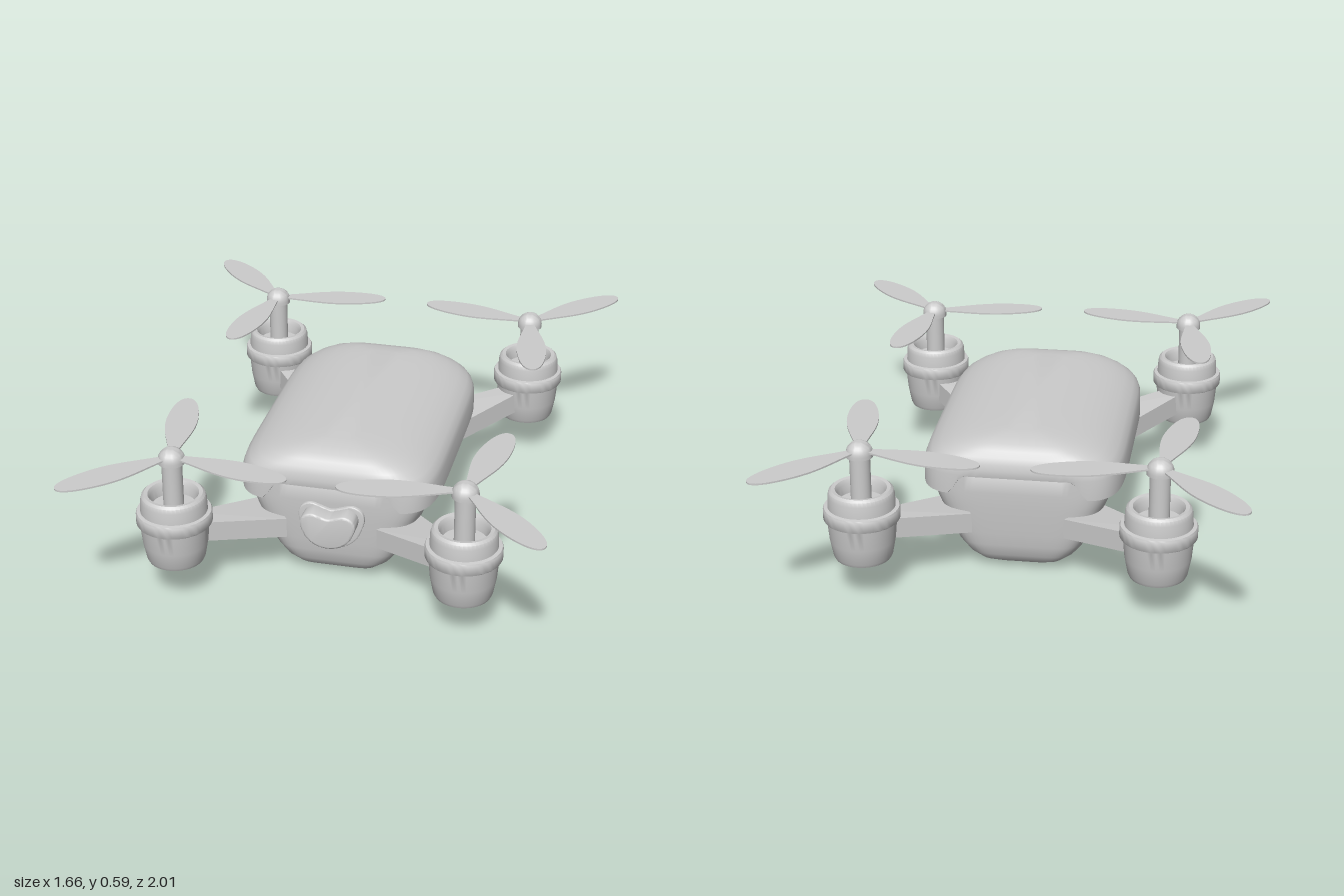
import * as THREE from 'three';
import { toCreasedNormals } from 'three/addons/utils/BufferGeometryUtils.js';
import { ConvexGeometry } from 'three/addons/geometries/ConvexGeometry.js';

const material = new THREE.MeshStandardMaterial({ color: 0xcccccc });

function mesh(name, geometry) {
  const m = new THREE.Mesh(geometry, material);
  m.name = name;
  return m;
}

// Skin over rounded-rectangle rings; levels are [halfWidth, halfDepth, y]
function loft(levels, power, lift = () => 0) {
  const n = 144, pos = [], index = [];
  levels.forEach(([hx, hz, y], i) => {
    for (let j = 0; j < n; j++) {
      const t = (j / n) * Math.PI * 2, c = Math.cos(t), s = Math.sin(t);
      const r = (Math.abs(c) ** power + Math.abs(s) ** power) ** (-1 / power);
      const x = hx * r * c, z = hz * r * s;
      pos.push(x, y + lift(x, y, z), z);
      if (i === 0) continue;
      const k = (j + 1) % n, a = (i - 1) * n, b = i * n;
      index.push(a + j, b + j, a + k, a + k, b + j, b + k);
    }
  });
  const g = new THREE.BufferGeometry();
  g.setAttribute('position', new THREE.Float32BufferAttribute(pos, 3));
  g.setIndex(index);
  return toCreasedNormals(g, 0.6);
}

function lathe(points, segments = 48) {
  const g = new THREE.LatheGeometry(points.map(([r, y]) => new THREE.Vector2(r, y)), segments);
  return toCreasedNormals(g, 0.6);
}

// Bean outline of the camera, sized about its centre
function beanShape(w, h) {
  const half = [[0, 0.74], [0.3, 0.86], [0.66, 1], [0.93, 0.8], [1, 0.42], [0.9, -0.1], [0.72, -0.55], [0.38, -0.9]];
  const left = half.slice(1).reverse().map(([x, y]) => [-x, y]);
  const pts = [...half, [0, -1], ...left].map(([x, y]) => new THREE.Vector3(x * w, y * h, 0));
  const curve = new THREE.CatmullRomCurve3(pts, true);
  return new THREE.Shape(curve.getPoints(64).slice(0, -1).map(p => new THREE.Vector2(p.x, p.y)));
}

function bean(name, w, h, y, z0, z1, bevel) {
  const g = new THREE.ExtrudeGeometry(beanShape(w - bevel, h - bevel), {
    depth: z1 - z0 - bevel, bevelEnabled: true, bevelThickness: bevel, bevelSize: bevel, bevelSegments: 3,
  });
  g.translate(0, y, z0);
  return mesh(name, toCreasedNormals(g, 0.6));
}

function bladeGeometry() {
  const s = new THREE.Shape();
  s.moveTo(0.02, 0.013);
  s.bezierCurveTo(0.12, 0.03, 0.18, 0.06, 0.28, 0.056);
  s.bezierCurveTo(0.36, 0.052, 0.435, 0.035, 0.435, 0);
  s.bezierCurveTo(0.435, -0.035, 0.36, -0.052, 0.28, -0.056);
  s.bezierCurveTo(0.18, -0.06, 0.12, -0.03, 0.02, -0.013);
  const g = new THREE.ExtrudeGeometry(s, { depth: 0.006, bevelEnabled: false, curveSegments: 14 });
  return g.rotateX(Math.PI / 2).translate(0, 0.56, 0);
}

function createRotor(sx, sz) {
  const rotor = new THREE.Group();
  rotor.name = 'rotor';
  rotor.position.set(sx * 0.515, 0, sz * 0.69);

  rotor.add(mesh('motorPod', lathe([
    [0, 0.165], [0.05, 0.165], [0.055, 0.15], [0.088, 0.15], [0.098, 0.154], [0.104, 0.166],
    [0.115, 0.225], [0.122, 0.302], [0.131, 0.302], [0.134, 0.307], [0.134, 0.342], [0.131, 0.348],
    [0.118, 0.35], [0.116, 0.392], [0.112, 0.408], [0.103, 0.416], [0.09, 0.414],
    [0.082, 0.4], [0.078, 0.365], [0, 0.365],
  ])));
  rotor.add(mesh('shaft', new THREE.CylinderGeometry(0.036, 0.036, 0.19, 32).translate(0, 0.45, 0)));

  // Domed hub
  const dome = [[0, 0.535], [0.047, 0.535]];
  for (let i = 0; i <= 8; i++) {
    const a = (i / 8) * Math.PI / 2;
    dome.push([0.047 * Math.cos(a), 0.547 + 0.045 * Math.sin(a)]);
  }
  rotor.add(mesh('hub', lathe(dome, 32)));

  // Three blades, the first pointing away from the body
  const blade = bladeGeometry();
  for (const degrees of [45, 170, -80]) {
    const a = THREE.MathUtils.degToRad(degrees);
    const b = mesh('propellerBlade', blade);
    b.rotation.y = -Math.atan2(sz * Math.sin(a), sx * Math.cos(a));
    rotor.add(b);
  }
  return rotor;
}

// Tapered arm from the body corner to the motor pod: [x, z, bottom, top]
function createArm(sx, sz) {
  const corners = [[0.165, 0.49, 0.165, 0.24], [0.28, 0.335, 0.16, 0.235], [0.43, 0.65, 0.205, 0.28], [0.5, 0.6, 0.205, 0.285]];
  const pts = corners.flatMap(([x, z, y0, y1]) => [y0, y1].map(y => new THREE.Vector3(sx * x, y, sz * z)));
  return mesh('arm', new ConvexGeometry(pts));
}

export function createModel() {
  const model = new THREE.Group();
  model.name = 'quadcopter';

  // Lower hull
  model.add(mesh('hull', loft([
    [0, 0, 0.004], [0.07, 0.35, 0.005], [0.12, 0.40, 0.014], [0.165, 0.43, 0.032], [0.205, 0.45, 0.062],
    [0.24, 0.46, 0.105], [0.268, 0.467, 0.155], [0.29, 0.472, 0.21], [0.31, 0.477, 0.26],
    [0.335, 0.48, 0.32], [0.335, 0.48, 0.38], [0.30, 0.46, 0.41], [0, 0, 0.42],
  ], 7)));

  // Upper shell; its lower edge arches up at both ends
  const arch = (x, y, z) => y < 0.33 && Math.abs(z) > 0.38
    ? 0.072 * (1 - THREE.MathUtils.smoothstep(Math.abs(x), 0.19, 0.255)) : 0;
  model.add(mesh('shell', loft([
    [0.32, 0.465, 0.41], [0.325, 0.47, 0.32], [0.358, 0.505, 0.32], [0.364, 0.511, 0.322],
    [0.362, 0.512, 0.398], [0.354, 0.511, 0.42], [0.335, 0.507, 0.443], [0.30, 0.498, 0.466],
    [0.255, 0.482, 0.487], [0.2, 0.457, 0.504], [0.14, 0.42, 0.515], [0.07, 0.36, 0.522], [0, 0, 0.525],
  ], 6, arch)));

  // Front camera
  model.add(bean('cameraBase', 0.12, 0.088, 0.232, 0.46, 0.493, 0.004));
  model.add(bean('camera', 0.1, 0.068, 0.242, 0.47, 0.555, 0.008));

  for (const sx of [1, -1]) {
    for (const sz of [1, -1]) model.add(createArm(sx, sz), createRotor(sx, sz));
  }
  return model;
}
